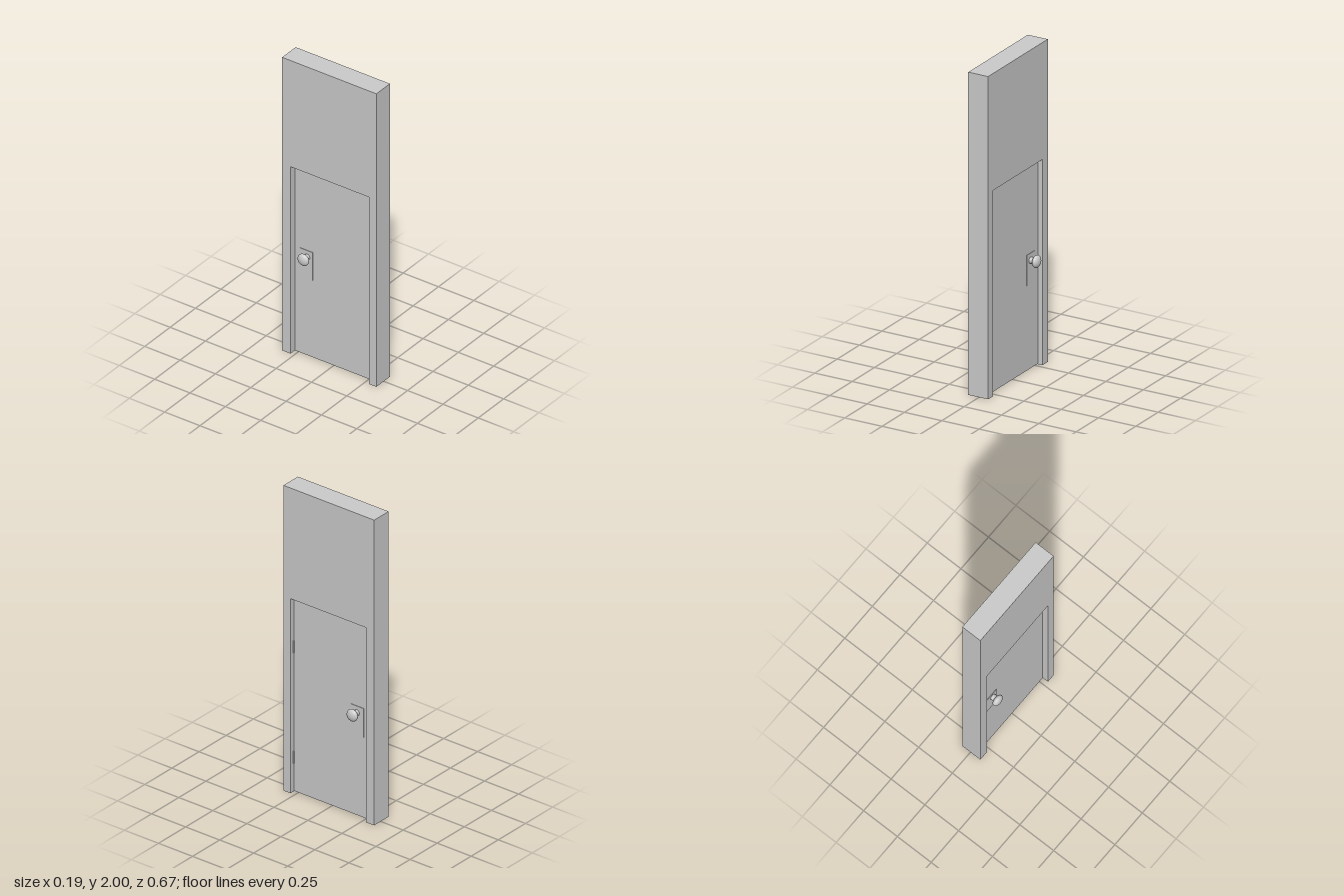
import * as THREE from 'three';

const material = new THREE.MeshStandardMaterial({ color: 0xcccccc });

function add(parent, name, geometry, x = 0, y = 0, z = 0) {
  const mesh = new THREE.Mesh(geometry, material);
  mesh.name = name;
  mesh.position.set(x, y, z);
  parent.add(mesh);
  return mesh;
}

export function createModel() {
  const model = new THREE.Group();
  model.name = 'doorInWall';

  // Wall with a doorway open at the floor; shape x runs along -z
  const outline = new THREE.Shape([
    [-0.332, 0], [-0.28, 0], [-0.28, 1.275], [0.275, 1.275],
    [0.275, 0], [0.335, 0], [0.335, 2], [-0.332, 2],
  ].map(([x, y]) => new THREE.Vector2(x, y)));
  const wall = new THREE.ExtrudeGeometry(outline, { depth: 0.133, bevelEnabled: false });
  wall.rotateY(Math.PI / 2);
  add(model, 'wall', wall, -0.073, 0, 0);

  // Door leaf, with a gap above it
  const door = new THREE.Group();
  door.name = 'door';
  model.add(door);
  const front = 0.031, back = -0.036;
  add(door, 'doorLeaf', new THREE.BoxGeometry(front - back, 1.255, 0.55),
    (front + back) / 2, 0.6325, 0.003);

  // Knob, neck and lock plate on both faces
  for (const [side, face, knobX, knobZ] of [
    [1, front, 0.075, -0.186],
    [-1, back, -0.077, -0.182],
  ]) {
    const handle = new THREE.Group();
    handle.name = side > 0 ? 'leftHandle' : 'rightHandle';
    door.add(handle);
    add(handle, 'lockPlate', new THREE.BoxGeometry(0.004, 0.19, 0.092),
      face + side * 0.001, 0.625, -0.19);
    const neck = new THREE.CylinderGeometry(0.017, 0.02, Math.abs(knobX - face), 24);
    neck.rotateZ(Math.PI / 2 * -side);
    add(handle, 'neck', neck, (face + knobX) / 2, 0.677, knobZ);
    const knob = new THREE.SphereGeometry(1, 32, 20);
    knob.scale(0.021, 0.038, 0.038);
    add(handle, 'knob', knob, knobX, 0.677, knobZ);
  }

  // Hinge pins in the gap beside the leaf
  for (const y of [0.225, 0.95]) {
    add(door, 'hinge', new THREE.CylinderGeometry(0.004, 0.004, 0.08, 12), front, y, 0.279);
  }
  return model;
}
